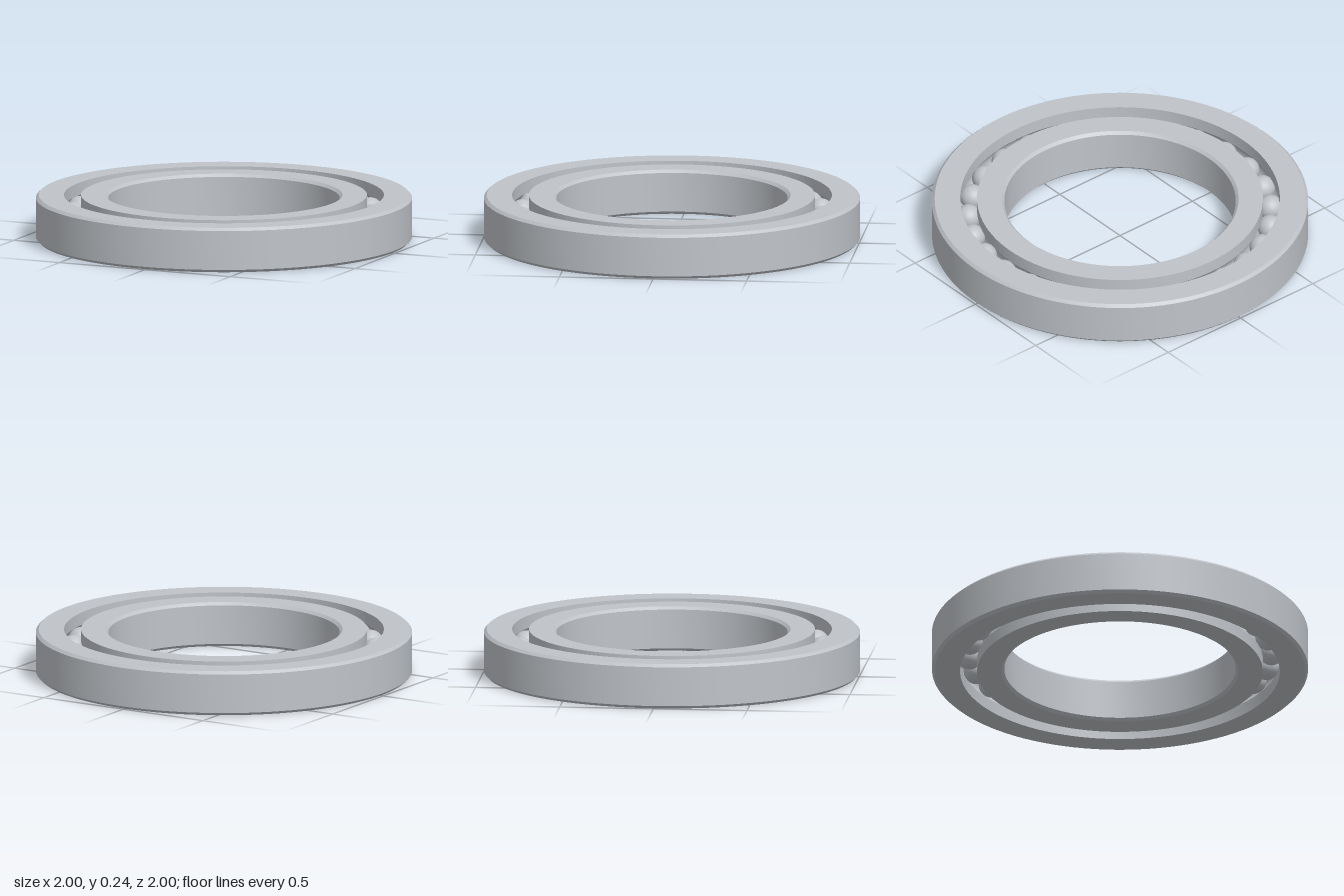
import * as THREE from 'three';
import { toCreasedNormals } from 'three/addons/utils/BufferGeometryUtils.js';

const HEIGHT = 0.24, MID = HEIGHT / 2, CHAMFER = 0.015;
const PITCH = 0.805, GAP = 0.045;            // ball circle radius, half gap between rings
const BALL_RADIUS = 0.068, GROOVE_RADIUS = 0.069, BALLS = 27;

const steel = new THREE.MeshStandardMaterial({ color: 0xc0c4c9 });
steel.name = 'steel';

// Arc of the ball groove; side = 1 cuts the outer ring (downwards), -1 the inner ring (upwards)
function groove(side) {
  const half = Math.acos(GAP / GROOVE_RADIUS), steps = 10, points = [];
  for (let i = 0; i <= steps; i++) {
    const a = half - (2 * half * i) / steps;
    points.push([PITCH + side * GROOVE_RADIUS * Math.cos(a), MID + side * GROOVE_RADIUS * Math.sin(a)]);
  }
  return points;
}

// Turned ring from a closed counterclockwise profile
function ring(name, profile) {
  const points = [...profile, profile[0]].map(([r, y]) => new THREE.Vector2(r, y));
  const mesh = new THREE.Mesh(toCreasedNormals(new THREE.LatheGeometry(points, 108), 0.5), steel);
  mesh.name = name;
  return mesh;
}

export function createModel() {
  const model = new THREE.Group();
  model.name = 'ballBearing';

  // Outer ring, chamfered on its outside edges
  const outerGap = PITCH + GAP, outside = 1;
  model.add(ring('outerRing', [
    [outerGap, 0], [outside - CHAMFER, 0], [outside, CHAMFER],
    [outside, HEIGHT - CHAMFER], [outside - CHAMFER, HEIGHT], [outerGap, HEIGHT],
    ...groove(1),
  ]));

  // Inner ring, chamfered around the bore
  const innerGap = PITCH - GAP, bore = 0.615;
  model.add(ring('innerRing', [
    [bore + CHAMFER, 0], [innerGap, 0],
    ...groove(-1),
    [innerGap, HEIGHT], [bore + CHAMFER, HEIGHT], [bore, HEIGHT - CHAMFER], [bore, CHAMFER],
  ]));

  // Balls spaced evenly in the groove
  const balls = new THREE.Group();
  balls.name = 'balls';
  const ballGeometry = new THREE.SphereGeometry(BALL_RADIUS, 32, 20);
  for (let i = 0; i < BALLS; i++) {
    const a = (i / BALLS) * Math.PI * 2;
    const ball = new THREE.Mesh(ballGeometry, steel);
    ball.name = 'ball';
    ball.position.set(PITCH * Math.cos(a), MID, PITCH * Math.sin(a));
    balls.add(ball);
  }
  model.add(balls);

  return model;
}
